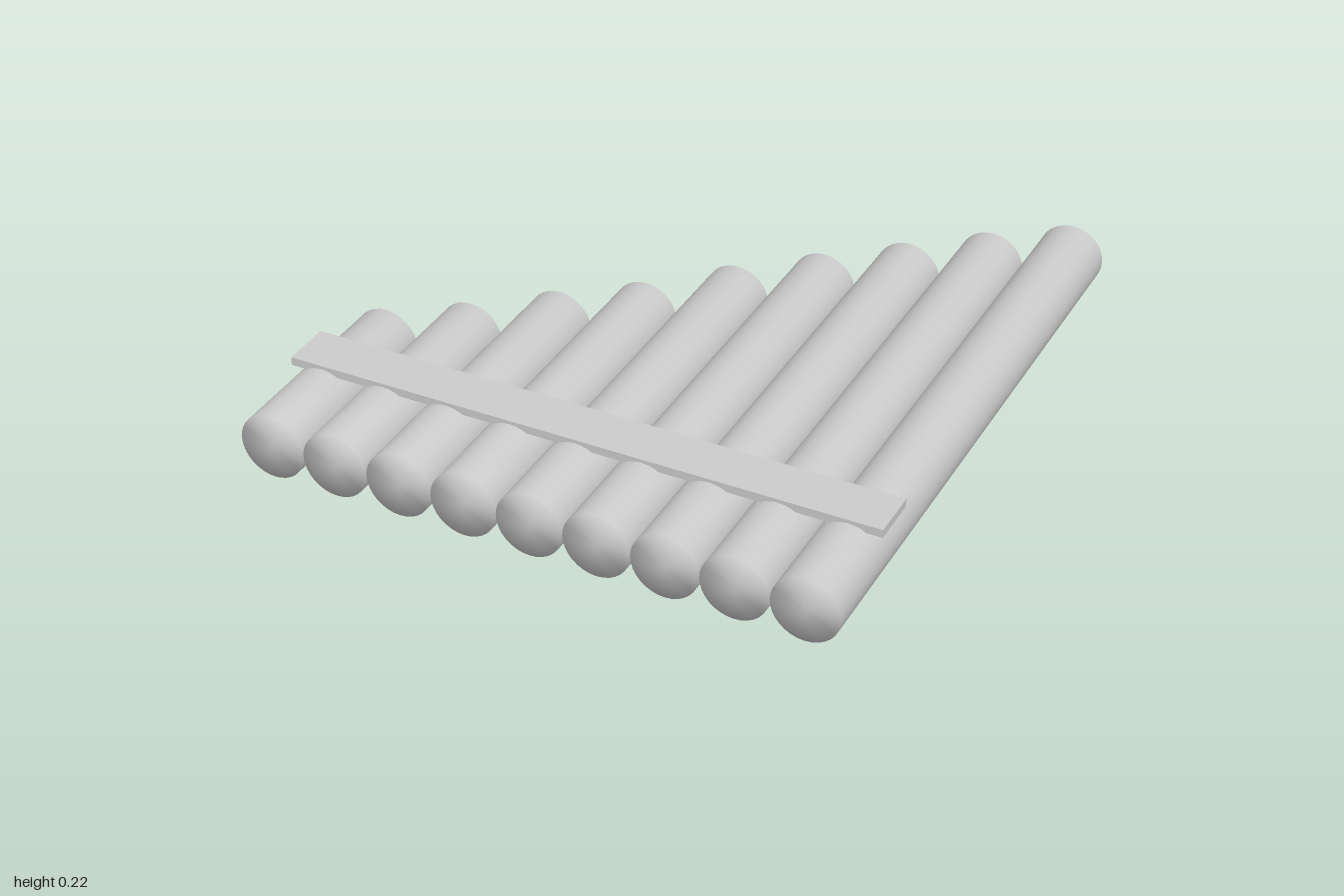
import * as THREE from 'three';
import { mergeVertices } from 'three/addons/utils/BufferGeometryUtils.js';

const RADIUS = 0.104;
const PITCH = 0.2085;
const FRONT = 1;
// z of each pipe's back end, from the shortest pipe to the longest
const BACK_ENDS = [0.373, 0.23, 0.053, -0.108, -0.317, -0.5, -0.675, -0.848, -1];

// Closed pipe along z whose caps share normals with the wall
function pipeGeometry(length) {
  const raw = new THREE.CylinderGeometry(RADIUS, RADIUS, length, 32);
  raw.deleteAttribute('normal');
  raw.deleteAttribute('uv');
  raw.rotateX(Math.PI / 2);
  const geometry = mergeVertices(raw);
  geometry.computeVertexNormals();
  return geometry;
}

export function createModel() {
  const model = new THREE.Group();
  model.name = 'panFlute';
  const material = new THREE.MeshStandardMaterial({ color: 0xcccccc });

  // Row of pipes, flush at the front and stepped at the back
  const pipes = new THREE.Group();
  pipes.name = 'pipes';
  BACK_ENDS.forEach((back, i) => {
    const pipe = new THREE.Mesh(pipeGeometry(FRONT - back), material);
    pipe.name = `pipe${i + 1}`;
    pipe.position.set((i - (BACK_ENDS.length - 1) / 2) * PITCH, RADIUS, (FRONT + back) / 2);
    pipes.add(pipe);
  });
  model.add(pipes);

  // Flat strip across the top that ties the pipes together
  const strip = new THREE.Mesh(new THREE.BoxGeometry(1.872, 0.026, 0.158), material);
  strip.name = 'bindingStrip';
  strip.position.set(0, 0.206, 0.651);
  model.add(strip);

  return model;
}
